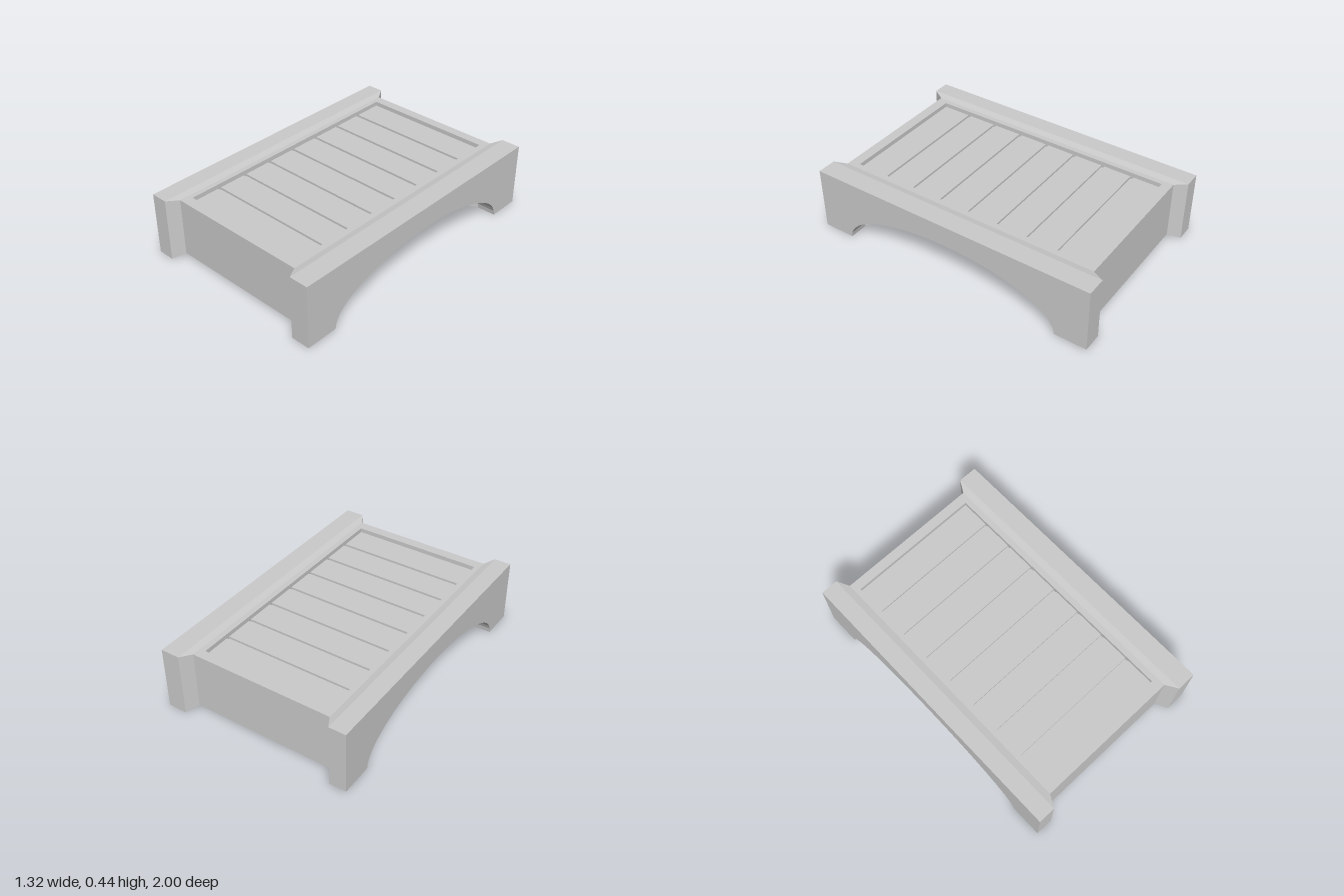
import * as THREE from 'three';

const ARCH_STEPS = 28;
const GROOVES = 7;
const DECK = { front: 0.85, back: -0.855, floor: 0.395, grooveDepth: 0.015 };

// End profiles (z half length, foot height, top height, arch half span)
const WING = { half: 1, base: 0, top: 0.435, span: 0.78 };
const CORE = { half: 0.92, base: 0.025, top: 0.425, span: 0.72 };
const ARCH_TOP = 0.29;

// Points [z, y] of the sunken deck, running from front to back
function deckLine(top, sunken) {
  const floor = sunken ? DECK.floor : top;
  const low = sunken ? DECK.floor - DECK.grooveDepth : top;
  const pts = [[DECK.front, top], [DECK.front, floor]];
  for (let k = GROOVES - 1; k >= 0; k--) {
    const c = -0.648 + k * 0.2145;
    pts.push([c + 0.011, floor], [c + 0.011, low], [c - 0.011, low], [c - 0.011, floor]);
  }
  pts.push([DECK.back, floor], [DECK.back, top]);
  return pts;
}

// Underside arch from back to front
function archLine(p) {
  const pts = [];
  for (let i = 0; i <= ARCH_STEPS; i++) {
    const a = (i / ARCH_STEPS) * Math.PI;
    pts.push([-p.span * Math.cos(a), p.base + (ARCH_TOP - p.base) * Math.sin(a)]);
  }
  return pts;
}

// Closed cross-section of the bridge; the plain one leaves out the deck points
function section(p, sunken, plain = false) {
  return [
    [p.half, p.base], [p.half, p.top],
    ...(plain ? [] : deckLine(p.top, sunken)),
    [-p.half, p.top], [-p.half, p.base],
    ...archLine(p),
  ];
}

function bridgeGeometry() {
  // Cross-sections from right to left; doubled x makes the deck's side walls
  const stations = [
    [-0.66, WING, false], [-0.545, WING, false], [-0.5, CORE, false],
    [-0.465, CORE, false], [-0.465, CORE, true],
    [0.445, CORE, true], [0.445, CORE, false],
    [0.485, CORE, false], [0.53, WING, false], [0.66, WING, false],
  ];
  const rings = stations.map(([x, p, sunken]) =>
    section(p, sunken).map(([z, y]) => new THREE.Vector3(x, y, z)));
  const pos = [];
  const tri = new THREE.Triangle();
  const add = (a, b, c) => {
    tri.set(a, b, c);
    if (tri.getArea() > 1e-8) pos.push(...a.toArray(), ...b.toArray(), ...c.toArray());
  };

  // Skin between neighbouring sections
  for (let i = 0; i < rings.length - 1; i++) {
    const r = rings[i], s = rings[i + 1], n = r.length;
    for (let j = 0; j < n; j++) {
      const k = (j + 1) % n;
      add(r[j], s[j], r[k]);
      add(r[k], s[j], s[k]);
    }
  }

  // Arched side faces
  const outline = section(WING, false, true).map(([z, y]) => new THREE.Vector2(z, y));
  for (const f of THREE.ShapeUtils.triangulateShape(outline, [])) {
    const at = (x) => f.map((i) => new THREE.Vector3(x, outline[i].y, outline[i].x));
    const [a, b, c] = at(-0.66);
    add(a, b, c);
    const [d, e, g] = at(0.66);
    add(d, g, e);
  }

  const geo = new THREE.BufferGeometry();
  geo.setAttribute('position', new THREE.Float32BufferAttribute(pos, 3));
  geo.computeVertexNormals();
  return geo;
}

export function createModel() {
  const group = new THREE.Group();
  group.name = 'archedBridge';
  const material = new THREE.MeshStandardMaterial({ color: 0xcccccc, flatShading: true });
  const body = new THREE.Mesh(bridgeGeometry(), material);
  body.name = 'bridgeBody';
  group.add(body);
  return group;
}
